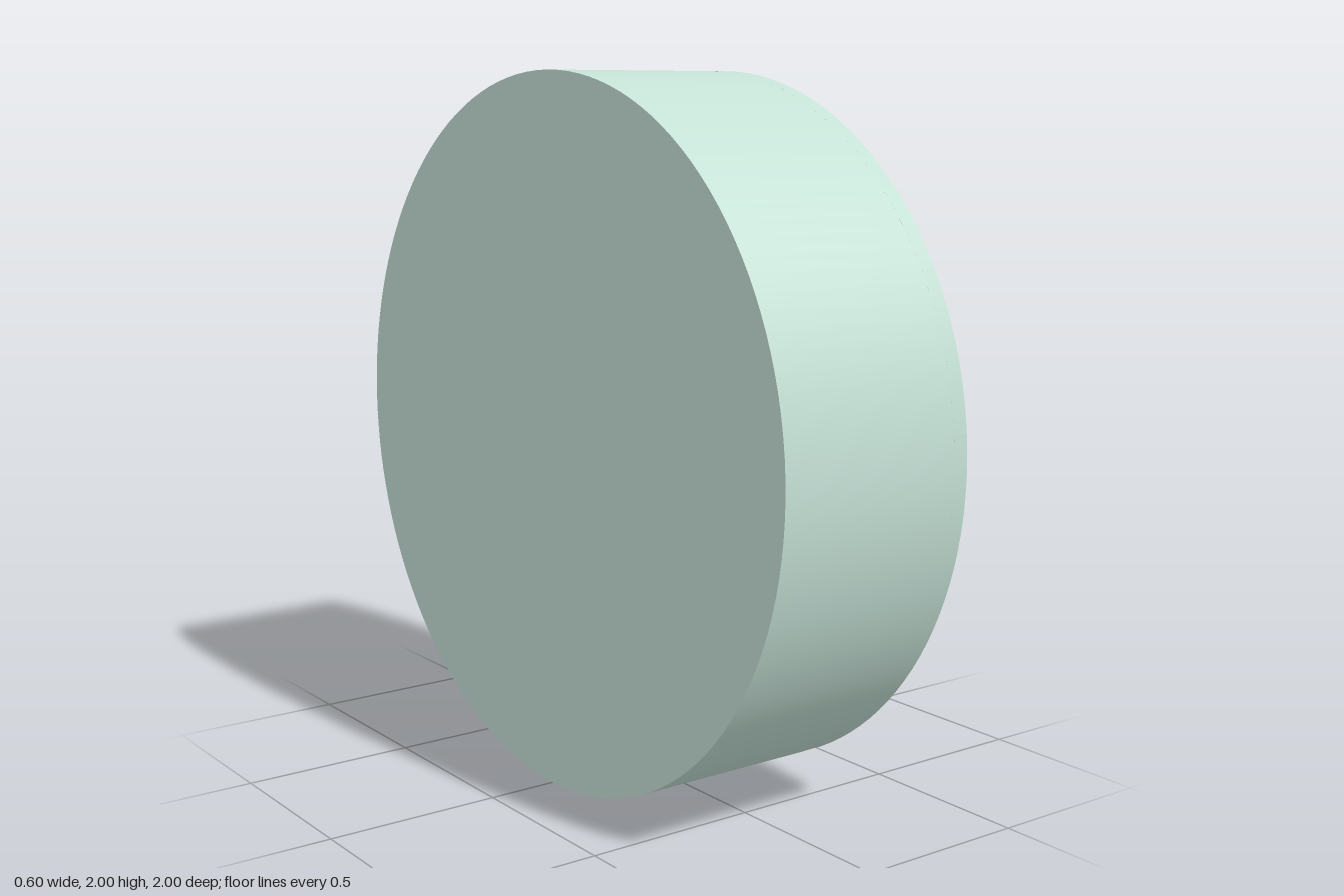
import * as THREE from 'three';

const HALF = 0.3;                 // half thickness of the disc
const FLOOR = HALF - 0.045;       // level of the recess floors
const SEG = 128;
// Edge notch, as angles around the disc centre
const NOTCH_A = Math.PI + Math.atan2(0.883, 0.47);
const NOTCH_B = Math.PI + Math.atan2(0.917, 0.4);
const RECESSES = [
  { name: 'largeRecess', u: 0, v: 1.395, r: 0.604 },
  { name: 'smallRecess', u: -0.47, v: 0.405, r: 0.148 },
];

export function createModel() {
  const model = new THREE.Group();
  // Profiles are drawn in a plane (u, v), then turned so the disc axis lies along x
  const disc = new THREE.Group();
  disc.name = 'disc';
  disc.rotation.y = Math.PI / 2;
  model.add(disc);
  const material = new THREE.MeshStandardMaterial({ color: 0xc4e0d5, side: THREE.DoubleSide });

  const add = (name, geometry, w = 0) => {
    const mesh = new THREE.Mesh(geometry, material);
    mesh.name = name;
    mesh.position.z = w;
    disc.add(mesh);
    return mesh;
  };

  // Open round wall between two levels; start and sweep are measured from +u
  const roundWall = (name, u, v, r, w0, w1, start = 0, sweep = Math.PI * 2) => {
    const g = new THREE.CylinderGeometry(r, r, w1 - w0, SEG, 1, true, start + Math.PI / 2, sweep);
    g.rotateX(Math.PI / 2);
    g.translate(u, v, (w0 + w1) / 2);
    return add(name, g);
  };

  const circle = (u, v, r) => new THREE.Path().absarc(u, v, r, 0, Math.PI * 2, false);
  const onRim = (a) => new THREE.Vector2(Math.cos(a), 1 + Math.sin(a));
  const flat = (name, points, w, holes = []) => {
    const shape = new THREE.Shape(points);
    shape.holes = holes;
    return add(name, new THREE.ShapeGeometry(shape, SEG), w);
  };

  // Outer rim: full for most of the thickness, broken by the notch at the recessed face
  const gap = NOTCH_B - NOTCH_A;
  roundWall('rim', 0, 1, 1, -HALF, FLOOR);
  roundWall('notchedRim', 0, 1, 1, FLOOR, HALF, NOTCH_B, Math.PI * 2 - gap);

  // Plain face
  const back = add('plainFace', new THREE.CircleGeometry(1, SEG), -HALF);
  back.position.y = 1;
  back.rotation.y = Math.PI;

  // Recessed face with its two round openings and the edge notch
  const notch = new THREE.QuadraticBezierCurve(
    onRim(NOTCH_A), new THREE.Vector2(-0.424, 0.1225), onRim(NOTCH_B)).getPoints(10);
  const outline = [];
  for (let i = 0; i <= SEG; i++) outline.push(onRim(NOTCH_B + (Math.PI * 2 - gap) * i / SEG));
  flat('recessedFace', [...outline, ...notch.slice(1, -1)], HALF,
    RECESSES.map(({ u, v, r }) => circle(u, v, r)));

  // Recess walls and floors
  for (const { name, u, v, r } of RECESSES) {
    roundWall(name + 'Wall', u, v, r, FLOOR, HALF);
    const floor = add(name + 'Floor', new THREE.CircleGeometry(r, SEG), FLOOR);
    floor.position.set(u, v, FLOOR);
  }

  // Notch floor and wall
  const edge = [0, 0.25, 0.5, 0.75, 1].map((t) => onRim(NOTCH_A + gap * t));
  flat('notchFloor', [...edge, ...notch.slice(1, -1).reverse()], FLOOR);
  const wall = new THREE.PlaneGeometry(1, 1, notch.length - 1, 1);
  const pos = wall.attributes.position;
  for (let i = 0; i < pos.count; i++) {
    const p = notch[i % notch.length];
    pos.setXYZ(i, p.x, p.y, i < notch.length ? FLOOR : HALF);
  }
  wall.computeVertexNormals();
  add('notchWall', wall);

  return model;
}
